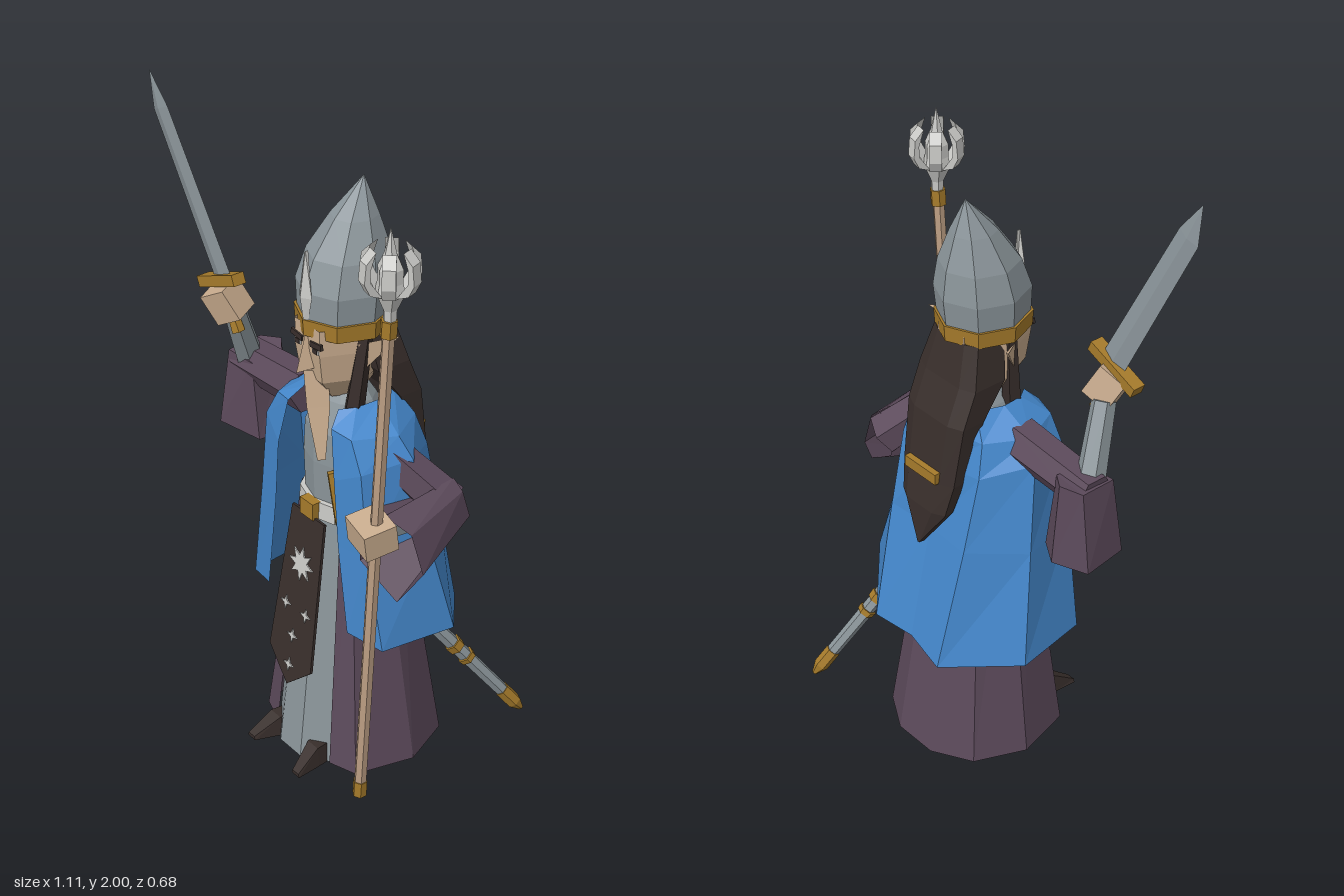
import * as THREE from 'three';

const CX = 0.087; // body axis
const mat = (name, color) => Object.assign(
  new THREE.MeshStandardMaterial({ color, flatShading: true, side: THREE.DoubleSide }), { name });
const V = (x, y, z) => new THREE.Vector3(x, y, z);

export function createModel() {
  const root = new THREE.Group();
  const blue = mat('cloak blue', 0x4487cb), purple = mat('robe purple', 0x5c4a5b);
  const steel = mat('steel grey', 0x8b959a), light = mat('pale silver', 0xc9c9c6);
  const gold = mat('gold', 0xa67b2b), skin = mat('skin', 0xc9ac8e);
  const wood = mat('pale wood', 0xbd9f84), dark = mat('dark brown', 0x382e2b);

  function add(name, geo, m, parent = root) {
    const mesh = new THREE.Mesh(geo, m);
    mesh.name = name;
    parent.add(mesh);
    return mesh;
  }
  // Surface through rings of points, optionally closed around and capped
  function loft(name, rings, m, closed = true, cap = closed) {
    const p = [], n = rings[0].length;
    const tri = (a, b, c) => p.push(...a, ...b, ...c);
    for (let i = 0; i + 1 < rings.length; i++) {
      for (let j = 0; j < (closed ? n : n - 1); j++) {
        const k = (j + 1) % n, a = rings[i], b = rings[i + 1];
        tri(a[j], b[j], b[k]);
        tri(a[j], b[k], a[k]);
      }
    }
    if (cap) for (let j = 1; j + 1 < n; j++) {
      const a = rings[0], b = rings[rings.length - 1];
      tri(a[0], a[j], a[j + 1]);
      tri(b[0], b[j + 1], b[j]);
    }
    const g = new THREE.BufferGeometry();
    g.setAttribute('position', new THREE.Float32BufferAttribute(p, 3));
    g.computeVertexNormals();
    return add(name, g, m);
  }
  // Cylinder between two points
  function rod(name, a, b, r0, r1, m, sides = 6) {
    const d = b.clone().sub(a);
    const mesh = add(name, new THREE.CylinderGeometry(r1, r0, d.length(), sides), m);
    mesh.position.copy(a).addScaledVector(d, 0.5);
    mesh.quaternion.setFromUnitVectors(V(0, 1, 0), d.normalize());
    return mesh;
  }
  function lathe(name, pts, sides, z, sz, m, x = CX) {
    const mesh = add(name, new THREE.LatheGeometry(pts.map(q => new THREE.Vector2(...q)), sides), m);
    mesh.position.set(x, 0, z);
    mesh.scale.z = sz;
    return mesh;
  }
  function plate(name, pts, depth, m, parent = root) {
    const s = new THREE.Shape(pts.map(q => new THREE.Vector2(...q)));
    return add(name, new THREE.ExtrudeGeometry(s, { depth, bevelEnabled: false }), m, parent);
  }
  // Half outline [dx, y, z], mirrored to a full row
  const row = (half, tilt = 0) => [
    ...half.map(([x, y, z]) => [CX - x, y - x * tilt, z]),
    ...half.slice().reverse().filter(q => q[0] > 0).map(([x, y, z]) => [CX + x, y + x * tilt, z])];

  // Robes: outer robe open at the front, inner robe as a curved front panel
  loft('outerRobe', [
    row([[0.09, 0.86, 0.14], [0.12, 0.86, 0.12], [0.14, 0.86, 0.03], [0.11, 0.86, -0.06], [0.04, 0.86, -0.1]]),
    row([[0.13, 0, 0.215], [0.22, 0, 0.185], [0.268, 0, 0], [0.2, 0, -0.16], [0.075, 0, -0.23]])], purple, false);
  loft('innerRobe', [
    row([[0.11, 0.86, 0.1], [0.09, 0.86, 0.13], [0.03, 0.86, 0.165]]),
    row([[0.17, 0, 0.16], [0.135, 0, 0.205], [0.05, 0, 0.265]])], steel, false);
  lathe('torso', [[0.125, 0.84], [0.13, 1.0], [0.125, 1.1], [0.085, 1.19], [0.05, 1.24]], 10, 0.045, 0.95, steel);
  lathe('belt', [[0.13, 0.82], [0.143, 0.82], [0.14, 0.875], [0.12, 0.875]], 10, 0.045, 0.97, light);
  add('buckle', new THREE.BoxGeometry(0.06, 0.055, 0.03), gold).position.set(CX, 0.848, 0.18);

  // Apron with stars
  const apron = new THREE.Group();
  apron.name = 'apron';
  apron.position.set(CX, 0.825, 0.18);
  apron.rotation.x = -0.15;
  root.add(apron);
  plate('apronCloth', [[-0.075, 0], [-0.1, -0.49], [0, -0.58], [0.1, -0.49], [0.075, 0]], 0.009, dark, apron);
  for (const [x, y, r, n] of [[0, -0.165, 0.055, 8], [-0.047, -0.318, 0.023, 4], [0.047, -0.318, 0.023, 4],
    [0, -0.41, 0.023, 4], [0, -0.51, 0.023, 4]]) {
    const pts = Array.from({ length: n * 2 }, (_, i) => {
      const q = i % 2 ? r * (n === 8 ? 0.5 : 0.35) : r, a = i * Math.PI / n;
      return [x + Math.sin(a) * q, y + Math.cos(a) * q];
    });
    plate('star', pts, 0.004, light, apron).position.z = 0.009;
  }

  // Boots: cross-sections from heel to toe [z, dx, half width, height]
  for (const s of [-1, 1]) {
    loft('boot', [[0.1, 0.08, 0.026, 0.065], [0.25, 0.094, 0.03, 0.065], [0.33, 0.112, 0.018, 0.012]].map(([z, x, w, h]) => {
      const c = CX + s * x;
      return [[c - w, 0, z], [c - w * 0.8, h, z], [c + w * 0.8, h, z], [c + w, 0, z]];
    }), dark);
  }

  // Cloak
  loft('cloak', [
    row([[0.08, 1.2, 0.14], [0.11, 1.205, 0.1], [0.12, 1.21, 0.03], [0.09, 1.21, -0.05], [0, 1.21, -0.08]]),
    row([[0.1, 1.16, 0.18], [0.17, 1.15, 0.165], [0.225, 1.145, 0.04], [0.15, 1.14, -0.08], [0, 1.14, -0.11]]),
    row([[0.13, 1.01, 0.195], [0.22, 1.06, 0.17], [0.265, 1.08, 0.02], [0.17, 1.04, -0.11], [0, 1.02, -0.125]]),
    row([[0.148, 0.8, 0.195], [0.25, 0.8, 0.17], [0.295, 0.8, -0.02], [0.165, 0.8, -0.165], [0, 0.8, -0.155]]),
    row([[0.19, 0.5, 0.195], [0.31, 0.475, 0.16], [0.344, 0.47, -0.08], [0.145, 0.415, -0.255], [0, 0.425, -0.235]], 0.09)],
  blue, false);

  // Head
  lathe('head', [[0, 1.2], [0.055, 1.21], [0.1, 1.28], [0.112, 1.37], [0.112, 1.45]], 6, 0.06, 1.3, skin)
    .geometry.rotateY(Math.PI / 6);
  loft('nose', [
    [[CX - 0.01, 1.43, 0.18], [CX, 1.43, 0.19], [CX + 0.01, 1.43, 0.18]],
    [[CX - 0.025, 1.32, 0.17], [CX, 1.31, 0.225], [CX + 0.025, 1.32, 0.17]]], skin);
  loft('beard', [
    [[CX - 0.035, 1.3, 0.14], [CX, 1.31, 0.2], [CX + 0.035, 1.3, 0.14]],
    [[CX - 0.012, 1.2, 0.14], [CX + 0.02, 1.2, 0.205], [CX + 0.055, 1.2, 0.15]],
    [[0.135, 1.045, 0.18], [0.148, 1.045, 0.2], [0.16, 1.045, 0.18]]], skin);
  for (const s of [-1, 1]) {
    add('eye', new THREE.BoxGeometry(0.03, 0.012, 0.006), light).position.set(CX + s * 0.04, 1.382, 0.186);
    add('pupil', new THREE.BoxGeometry(0.018, 0.014, 0.006), dark).position.set(CX + s * 0.04, 1.383, 0.188);
    const brow = add('eyebrow', new THREE.BoxGeometry(0.05, 0.017, 0.009), dark);
    brow.position.set(CX + s * 0.043, 1.402, 0.187);
    brow.rotation.z = s * 0.12;
    loft('ear', [
      [[CX + s * 0.105, 1.4, 0.09], [CX + s * 0.125, 1.39, 0.03], [CX + s * 0.11, 1.315, 0.075]],
      [[CX + s * 0.172, 1.425, 0], [CX + s * 0.173, 1.425, -0.005], [CX + s * 0.17, 1.42, 0]]], skin);
    rod('hairLock', V(CX + s * 0.086, 1.18, 0.09), V(CX + s * 0.104, 1.42, 0.065), 0.03, 0.022, dark, 5);
  }

  // Long hair and clasp: [y, half width, front z, back z]
  loft('backHair', [[1.425, 0.095, 0.05, -0.066], [1.3, 0.122, 0.03, -0.1], [1.19, 0.122, -0.05, -0.145],
    [1.0, 0.112, -0.115, -0.175], [0.9, 0.095, -0.145, -0.195], [0.765, 0.006, -0.185, -0.2]]
    .map(([y, w, f, b]) => [[CX - w, y, f], [CX - w, y, b + 0.02], [CX - w * 0.6, y, b], [CX + w * 0.6, y, b],
      [CX + w, y, b + 0.02], [CX + w, y, f]]), dark);
  add('hairClasp', new THREE.BoxGeometry(0.135, 0.035, 0.025), gold).position.set(CX, 1.02, -0.176);

  // Helmet
  const helm = lathe('helmet', [[0.13, 1.46], [0.136, 1.55], [0.115, 1.64], [0.066, 1.74], [0, 1.845]], 8, 0.055, 1.06, steel);
  const hp = helm.geometry.attributes.position;
  for (let i = 0; i < hp.count; i++) {
    const t = Math.max(0, (hp.getY(i) - 1.46) / 0.385);
    hp.setZ(i, hp.getZ(i) - 0.062 * t * t);
  }
  lathe('helmetBand', [[0.12, 1.42], [0.135, 1.42], [0.138, 1.47], [0.125, 1.47]], 8, 0.055, 1.06, gold);
  loft('helmetSpike', [[1.47, 0.012], [1.54, 0.028], [1.675, 0.001]].map(([y, w]) =>
    [[CX - w, y, 0.19], [CX, y, 0.192 + w * 0.6], [CX + w, y, 0.19], [CX, y, 0.18]]), light);

  // Right arm, raised
  rod('rightUpperSleeve', V(-0.085, 1.11, 0.05), V(-0.4, 1.085, 0.047), 0.07, 0.064, purple, 6);
  loft('rightCuff', [
    [[-0.415, 1.125, -0.015], [-0.35, 1.135, -0.045], [-0.3, 1.13, -0.01], [-0.3, 1.12, 0.1], [-0.41, 1.12, 0.105]],
    [[-0.45, 0.87, -0.02], [-0.345, 0.875, -0.065], [-0.26, 0.87, -0.01], [-0.27, 0.87, 0.1], [-0.43, 0.87, 0.13]]],
  purple);
  rod('rightForearm', V(-0.37, 1.06, 0.045), V(-0.315, 1.32, 0.15), 0.045, 0.036, steel, 6);
  const hand = add('rightHand', new THREE.BoxGeometry(0.09, 0.1, 0.085), skin);
  hand.position.set(-0.303, 1.355, 0.178);
  hand.rotation.set(0.2, 0.4, 0.42);

  // Sword
  const base = V(-0.315, 1.435, 0.185), axis = V(-0.205, 0.46, 0.05), wide = V(0.913, 0.407, 0);
  loft('swordBlade', [[0, 0.044], [1, 0.038], [1.21, 0.001]].map(([t, w]) => {
    const c = base.clone().addScaledVector(axis, t);
    if (t > 1) c.set(-0.554, 2, 0.245);
    return [[wide, w], [V(0, 0, 1), w * 0.25], [wide, -w], [V(0, 0, 1), -w * 0.25]]
      .map(([d, k]) => c.clone().addScaledVector(d, k).toArray());
  }), steel);
  const guard = add('swordGuard', new THREE.BoxGeometry(0.19, 0.034, 0.042), gold);
  guard.position.set(-0.322, 1.418, 0.185);
  guard.rotation.z = 0.4;
  rod('swordPommel', V(-0.27, 1.265, 0.165), V(-0.295, 1.33, 0.172), 0.022, 0.018, gold, 6);

  // Left arm, holding the staff
  rod('leftUpperSleeve', V(0.27, 1.08, 0.05), V(0.405, 0.93, -0.06), 0.06, 0.07, purple, 6);
  loft('leftCuff', [
    [[0.35, 0.95, -0.07], [0.41, 1.01, -0.08], [0.445, 0.98, -0.085], [0.45, 0.89, -0.11], [0.41, 0.855, -0.115], [0.35, 0.88, -0.09]],
    [[0.33, 0.96, 0.19], [0.43, 1.0, 0.185], [0.505, 0.96, 0.15], [0.54, 0.84, 0.135], [0.465, 0.72, 0.165], [0.33, 0.8, 0.19]]],
  purple, true, false);
  rod('leftForearm', V(0.4, 0.93, -0.02), V(0.415, 0.95, 0.19), 0.045, 0.036, steel, 6);
  const fist = add('leftHand', new THREE.BoxGeometry(0.115, 0.085, 0.1), skin);
  fist.position.set(0.42, 0.955, 0.22);
  fist.rotation.set(0.15, -0.2, -0.05);

  // Staff with flanged head
  const at = y => V(0.383 + 0.053 * y, y, 0.23 - 0.013 * y);
  rod('staff', at(0.02), at(1.62), 0.019, 0.018, wood, 6);
  rod('staffFoot', at(0), at(0.055), 0.022, 0.022, gold, 6);
  rod('staffCollar', at(1.59), at(1.64), 0.024, 0.024, gold, 6);
  lathe('staffHead', [[0.018, 1.63], [0.02, 1.67], [0.042, 1.72], [0.036, 1.75], [0.036, 1.79], [0.018, 1.83], [0, 1.905]],
    6, 0.207, 1, light, 0.47);
  for (let i = 0; i < 6; i++) {
    const flange = plate('staffFlange', [[0.03, 1.715], [0.066, 1.73], [0.083, 1.765], [0.078, 1.82], [0.05, 1.85],
      [0.066, 1.8], [0.064, 1.765], [0.05, 1.745]], 0.036, light);
    flange.geometry.translate(0, 0, -0.018);
    flange.position.set(0.47, 0, 0.207);
    flange.rotation.y = (i + 0.3) * Math.PI / 3;
  }

  // Scabbard on its strap
  const top = V(0.185, 0.84, 0.19), tip = V(0.455, 0.1, -0.335);
  const along = t => top.clone().lerp(tip, t);
  rod('scabbardStrap', V(0.165, 1.0, 0.165), V(0.195, 0.84, 0.16), 0.014, 0.014, gold, 4);
  rod('scabbard', along(0.1), along(0.92), 0.026, 0.021, steel, 6);
  for (const [a, b] of [[0.63, 0.66], [0.7, 0.72]]) rod('scabbardBand', along(a), along(b), 0.029, 0.027, gold, 6);
  rod('scabbardShoe', along(0.9), along(0.97), 0.024, 0.024, gold, 6);
  rod('scabbardTip', along(0.97), along(1.01), 0.024, 0.008, gold, 6);

  return root;
}
